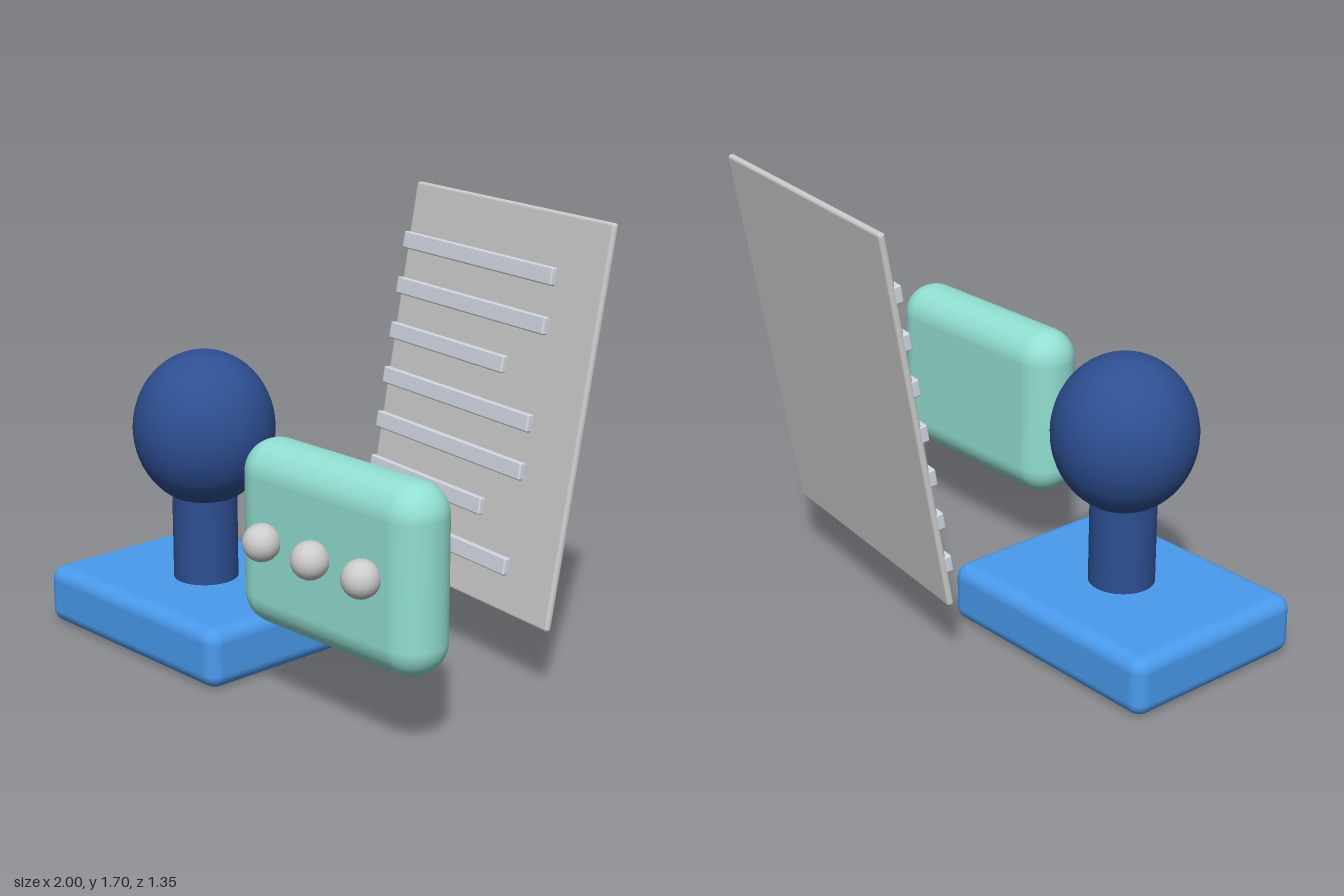
import * as THREE from 'three';
import { RoundedBoxGeometry } from 'three/addons/geometries/RoundedBoxGeometry.js';

const paint = (color) => new THREE.MeshStandardMaterial({ color });

function addPart(parent, name, geometry, material, x, y, z) {
  const mesh = new THREE.Mesh(geometry, material);
  mesh.name = name;
  mesh.position.set(x, y, z);
  parent.add(mesh);
  return mesh;
}

export function createModel() {
  const model = new THREE.Group();
  model.name = 'figureWithPanelAndBubble';

  const blue = paint(0x4a9bee);
  const navy = paint(0x2e4f92);
  const mint = paint(0x92dfd2);
  const white = paint(0xf2f2f2);
  const grey = paint(0xcccccc);
  const silver = paint(0xd2d8e2);

  // Rounded base slab with the neck and egg-shaped head standing on it
  addPart(model, 'base', new RoundedBoxGeometry(1.02, 0.23, 0.79, 6, 0.055), blue, -0.49, 0.115, 0.225);
  addPart(model, 'neck', new THREE.CylinderGeometry(0.125, 0.125, 0.38, 48), navy, -0.49, 0.41, 0.23);
  const head = addPart(model, 'head', new THREE.SphereGeometry(0.272, 48, 32), navy, -0.49, 0.826, 0.227);
  head.scale.y = 1.1;

  // Speech bubble with three dots half sunk into its front
  const bubble = new THREE.Group();
  bubble.name = 'speechBubble';
  bubble.position.set(0.54, 0.632, 0.453);
  model.add(bubble);
  addPart(bubble, 'bubbleBody', new RoundedBoxGeometry(0.91, 0.68, 0.245, 10, 0.12), mint, 0, 0, 0);
  const dot = new THREE.SphereGeometry(0.068, 32, 24);
  for (const x of [-0.25, 0, 0.25]) addPart(bubble, 'bubbleDot', dot, white, x, 0.013, 0.157);

  // Document panel, turned slightly and leaning back
  const panel = new THREE.Group();
  panel.name = 'documentPanel';
  panel.position.set(0.31, 0.975, -0.457);
  panel.rotation.set(THREE.MathUtils.degToRad(-10), THREE.MathUtils.degToRad(-8), 0, 'YXZ');
  model.add(panel);
  addPart(panel, 'panelSheet', new RoundedBoxGeometry(1.14, 1.477, 0.027, 4, 0.012), grey, 0, 0, 0);

  // Raised text bars, aligned to the panel's edge
  const start = -0.573;
  for (let i = 0; i < 7; i++) {
    const length = i % 3 === 2 ? 0.7 : 0.89;
    addPart(panel, 'textBar', new RoundedBoxGeometry(length, 0.066, 0.03, 3, 0.007), silver,
      start + length / 2, 0.508 - i * 0.179, 0.02);
  }

  return model;
}
